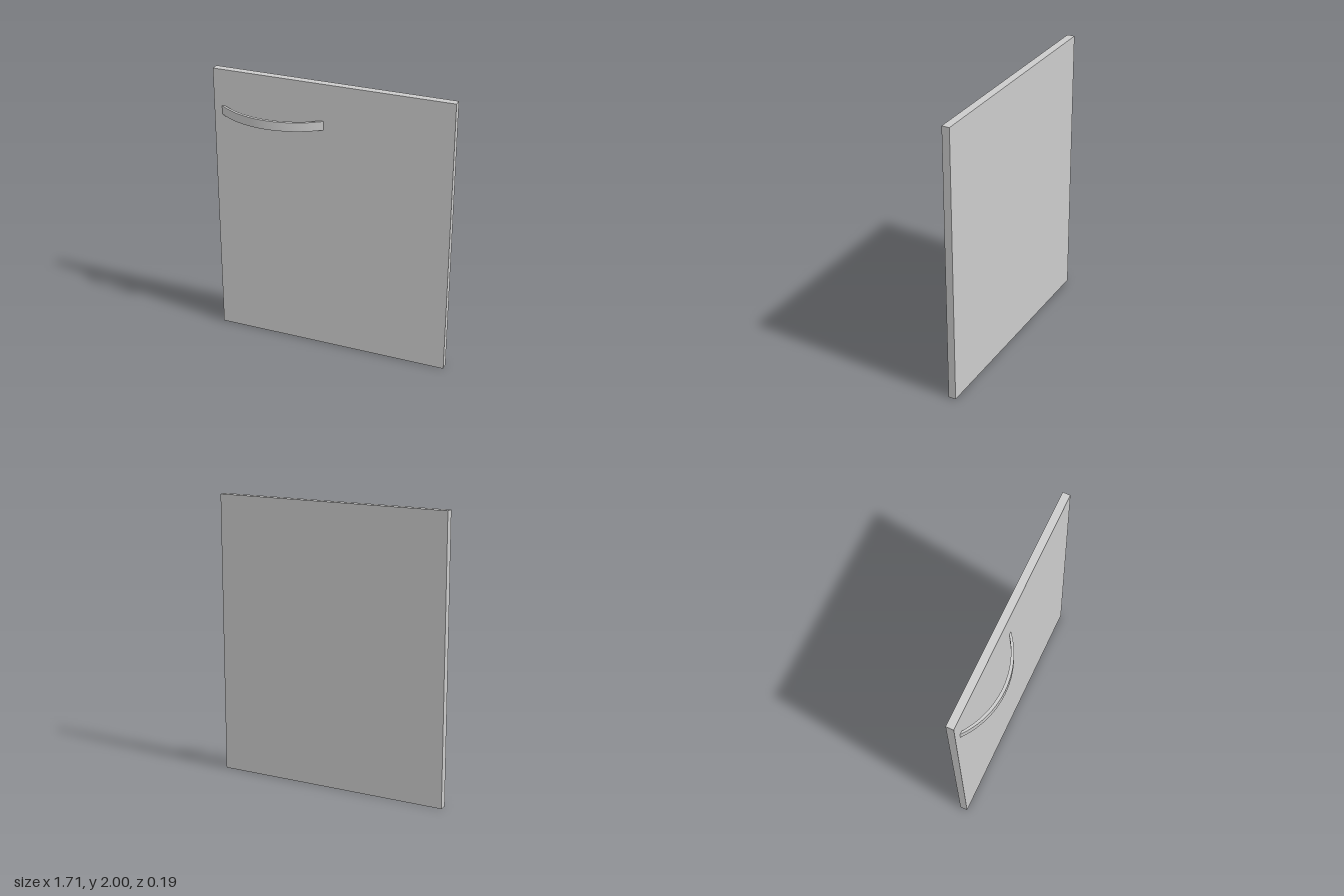
import * as THREE from 'three';
import { toCreasedNormals } from 'three/addons/utils/BufferGeometryUtils.js';

const FRONT_Z = -0.04; // front face of the panel

// Points of an arc through (-half, 0), (0, rise), (half, 0)
function arcPoints(half, rise, segments = 32) {
  const radius = (half * half + rise * rise) / (2 * rise);
  const sweep = Math.asin(half / radius);
  return Array.from({ length: segments + 1 }, (_, i) => {
    const a = sweep * (2 * i / segments - 1);
    return new THREE.Vector2(radius * Math.sin(a), radius * Math.cos(a) - radius + rise);
  });
}

export function createModel() {
  const model = new THREE.Group();
  const material = new THREE.MeshStandardMaterial({ color: 0xcccccc });

  // Flat door panel
  const panel = new THREE.Mesh(new THREE.BoxGeometry(1.708, 2, 0.054), material);
  panel.name = 'doorPanel';
  panel.position.set(0, 1, FRONT_Z - 0.027);
  model.add(panel);

  // Bowed strip handle: outer arc out, inner arc back, extruded vertically
  const outline = [...arcPoints(0.373, 0.133), ...arcPoints(0.347, 0.111).reverse()];
  const strip = new THREE.ExtrudeGeometry(new THREE.Shape(outline), {
    depth: 0.063, bevelEnabled: false,
  });
  strip.rotateX(Math.PI / 2);
  const handle = new THREE.Mesh(toCreasedNormals(strip, 0.6), material);
  handle.name = 'bowHandle';
  handle.position.set(-0.423, 1.738, FRONT_Z);
  model.add(handle);

  return model;
}
